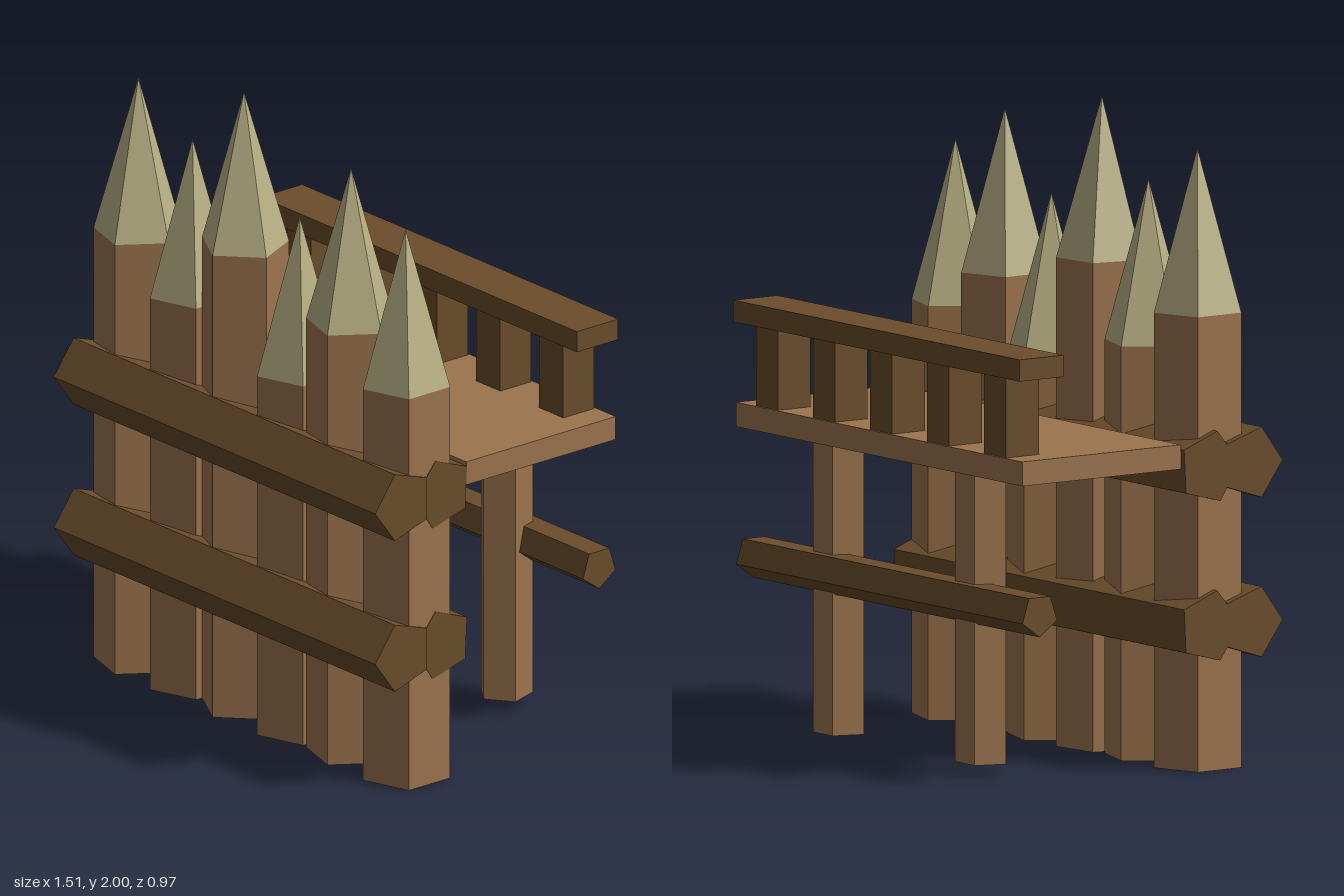
import * as THREE from 'three';

const paint = (color) => new THREE.MeshStandardMaterial({ color, flatShading: true });

export function createModel() {
  const model = new THREE.Group();
  const wood = paint(0x9c744e);
  const darkWood = paint(0x6b4d2b);
  const cutWood = paint(0xb8b084);
  const deg = Math.PI / 180;

  function add(name, geometry, material, x, y, z, parent = model) {
    const mesh = new THREE.Mesh(geometry, material);
    mesh.name = name;
    mesh.position.set(x, y, z);
    parent.add(mesh);
    return mesh;
  }

  // Five-sided log lying along x
  function beam(name, radius, length, roll, x, y, z) {
    const geometry = new THREE.CylinderGeometry(radius, radius, length, 5);
    geometry.rotateY(roll * deg).rotateZ(-Math.PI / 2);
    add(name, geometry, darkWood, x, y, z);
  }

  // Sharpened stakes: x, shoulder height, tip height, turn
  const stakes = [
    [-0.622, 1.4, 1.9, 91],
    [-0.367, 1.275, 1.775, -90],
    [-0.125, 1.505, 2.0, 79],
    [0.138, 1.17, 1.67, -90],
    [0.38, 1.4, 1.9, 91],
    [0.637, 1.275, 1.775, -90],
  ];
  for (const [x, shoulder, top, turn] of stakes) {
    const stake = new THREE.Group();
    stake.name = 'stake';
    stake.position.set(x, 0, 0.266);
    stake.rotation.y = turn * deg;
    model.add(stake);
    add('stakeTrunk', new THREE.CylinderGeometry(0.14, 0.14, shoulder, 5), wood, 0, shoulder / 2, 0, stake);
    add('stakeTip', new THREE.ConeGeometry(0.14, top - shoulder, 5, 1, true), cutWood, 0, (shoulder + top) / 2, 0, stake);
  }

  // Cross beams clamping the stakes from both sides
  for (const y of [0.447, 0.938]) {
    beam('frontBeam', 0.114, 1.515, 0, -0.002, y, 0.373);
    beam('backBeam', 0.114, 1.51, -3, -0.003, y, 0.214);
  }

  // Walkway
  add('walkway', new THREE.BoxGeometry(1.49, 0.075, 0.595), wood, 0.005, 0.977, -0.178);

  // Walkway legs and the brace behind them
  for (const x of [-0.365, 0.375]) {
    add('walkwayLeg', new THREE.CylinderGeometry(0.086, 0.086, 0.91, 5), wood, x, 0.49, -0.351);
  }
  beam('legBrace', 0.068, 1.49, 90, 0.005, 0.537, -0.41);

  // Railing
  add('handrail', new THREE.BoxGeometry(1.49, 0.067, 0.165), darkWood, 0.005, 1.296, -0.403);
  for (let i = -2; i <= 2; i++) {
    add('railingPost', new THREE.BoxGeometry(0.115, 0.26, 0.123), darkWood, 0.005 + i * 0.297, 1.14, -0.407);
  }

  return model;
}
